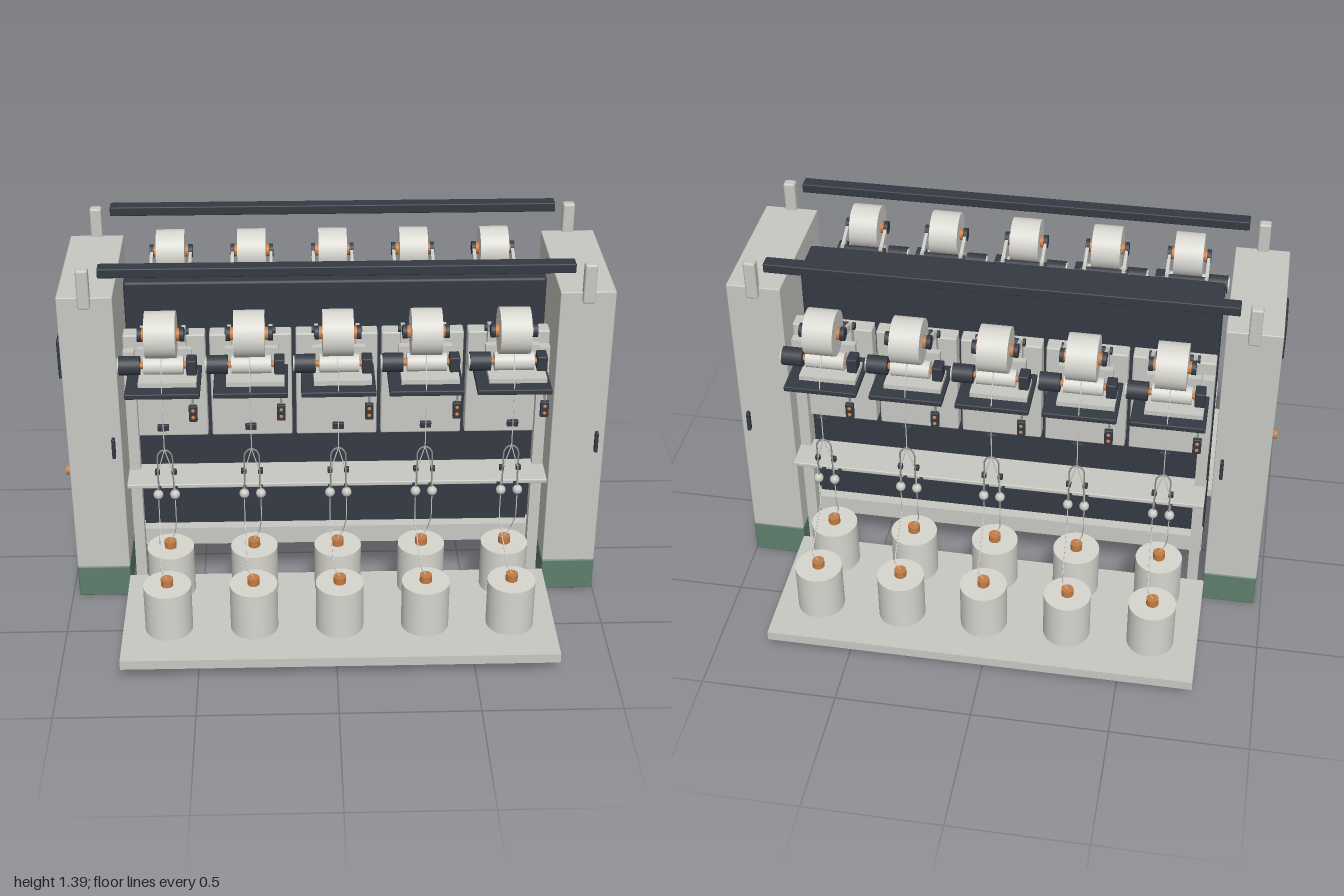
import * as THREE from 'three';
import { RoundedBoxGeometry } from 'three/addons/geometries/RoundedBoxGeometry.js';

const mat = (name, color, side = THREE.FrontSide) => {
  const m = new THREE.MeshStandardMaterial({ color, side });
  m.name = name;
  return m;
};

export function createModel() {
  const body = mat('light grey paint', 0xc8c8c3);
  const dark = mat('dark slate', 0x353a43);
  const green = mat('green base', 0x5f7d6d);
  const copper = mat('copper', 0xc47c44);
  const yarn = mat('yarn white', 0xd6d5ce);
  const steel = mat('steel', 0x8f9290);

  const add = (parent, name, geo, m, x, y, z) => {
    const mesh = new THREE.Mesh(geo, m);
    mesh.name = name;
    mesh.position.set(x, y, z);
    parent.add(mesh);
    return mesh;
  };
  // Box given by its ranges on each axis
  const box = (parent, name, m, [x0, x1], [y0, y1], [z0, z1], r = 0) => {
    const s = [x1 - x0, y1 - y0, z1 - z0];
    const geo = r ? new RoundedBoxGeometry(...s, 2, r) : new THREE.BoxGeometry(...s);
    return add(parent, name, geo, m, (x0 + x1) / 2, (y0 + y1) / 2, (z0 + z1) / 2);
  };
  // Upright cylinder between two heights
  const cylY = (parent, name, m, r, x, y0, y1, z, seg = 32) =>
    add(parent, name, new THREE.CylinderGeometry(r, r, y1 - y0, seg), m, x, (y0 + y1) / 2, z);
  // Cylinder lying along x
  const cylX = (parent, name, m, r, x0, x1, y, z, seg = 32) => {
    const c = add(parent, name, new THREE.CylinderGeometry(r, r, x1 - x0, seg), m, (x0 + x1) / 2, y, z);
    c.rotation.z = -Math.PI / 2;
    return c;
  };
  // Thin tube through straight segments
  const wire = (parent, name, m, r, pts) => {
    const path = new THREE.CurvePath();
    const v = pts.map(p => new THREE.Vector3(...p));
    for (let i = 1; i < v.length; i++) path.add(new THREE.LineCurve3(v[i - 1], v[i]));
    return add(parent, name, new THREE.TubeGeometry(path, 4 * (v.length - 1), r, 5), m, 0, 0, 0);
  };

  const model = new THREE.Group();
  model.name = 'yarnWindingMachine';
  const machine = new THREE.Group();
  machine.name = 'machine';
  machine.position.x = 0.012;
  model.add(machine);

  // End cabinets with green plinths and door handles
  for (const s of [-1, 1]) {
    const c = s * 0.887;
    box(machine, 'cabinet', body, [c - 0.099, c + 0.099], [0.13, 1.268], [-0.27, 0.27], 0.004);
    box(machine, 'cabinetBase', green, [c - 0.1, c + 0.1], [0, 0.132], [-0.272, 0.272], 0.006);
    const hx = s < 0 ? -0.817 : 0.955;
    for (const t of [-1, 1])
      add(machine, 'doorHandle', new RoundedBoxGeometry(0.013, 0.082, 0.022, 2, 0.004), dark, hx, 0.662, t * 0.281);
  }

  // Control screen and knob on the outer left cabinet
  box(machine, 'controlScreen', dark, [-1.001, -0.985], [0.93, 1.085], [0.06, 0.24], 0.006);
  cylX(machine, 'knobStem', dark, 0.012, -1.002, -0.985, 0.5, 0.16, 16);
  cylX(machine, 'knob', copper, 0.019, -1.012, -0.998, 0.5, 0.16, 20);

  // Central core
  box(machine, 'centralCore', dark, [-0.767, 0.767], [0.115, 1.235], [-0.082, 0.082], 0.01);

  function supplyBobbin(parent, x, z) {
    const g = new THREE.Group();
    g.name = 'supplyBobbin';
    g.position.set(x, 0, z);
    parent.add(g);
    cylY(g, 'bobbinSeat', body, 0.018, 0, 0.088, 0.106, 0, 16);
    cylY(g, 'bobbinTube', copper, 0.022, 0, 0.104, 0.335, 0, 20);
    cylY(g, 'bobbinYarn', yarn, 0.086, 0, 0.123, 0.308, 0, 40);
  }

  function windingHead(parent, x) {
    const g = new THREE.Group();
    g.name = 'windingHead';
    g.position.x = x;
    parent.add(g);
    // Casing behind and deck plate
    box(g, 'casing', body, [-0.147, 0.147], [0.685, 1.1], [0.175, 0.235], 0.006);
    box(g, 'deck', dark, [-0.13, 0.133], [0.96, 0.98], [0.235, 0.455], 0.004);
    box(g, 'pedestal', body, [-0.085, 0.12], [0.98, 0.998], [0.29, 0.405]);
    box(g, 'backBracket', body, [-0.09, 0.1], [0.998, 1.08], [0.28, 0.305]);
    // Drive roller, motor and bearing block
    cylX(g, 'driveRoller', yarn, 0.033, -0.065, 0.075, 1.042, 0.352);
    cylX(g, 'rollerShaft', copper, 0.012, -0.08, 0.09, 1.042, 0.352, 12);
    cylX(g, 'motor', dark, 0.034, -0.152, -0.078, 1.042, 0.352, 24);
    cylX(g, 'motorCap', body, 0.028, -0.158, -0.152, 1.042, 0.352, 24);
    box(g, 'bearingBlock', dark, [0.085, 0.122], [1.012, 1.07], [0.324, 0.38], 0.005);
    // Wound package on its cradle
    cylX(g, 'woundPackage', yarn, 0.083, -0.054, 0.054, 1.163, 0.352, 48);
    cylX(g, 'packageTube', copper, 0.023, -0.068, 0.068, 1.163, 0.352, 20);
    for (const s of [-1, 1]) {
      const a = s * 0.074;
      cylX(g, 'cradleHub', dark, 0.025, a - 0.008, a + 0.008, 1.163, 0.352, 20);
      const arm = box(g, 'cradleArm', body, [a - 0.006, a + 0.006], [-0.013, 0.013], [-0.062, 0.062]);
      arm.position.set(a, 1.143, 0.295);
      arm.rotation.x = -0.36;
      box(g, 'cradlePost', body, [a - 0.007, a + 0.007], [0.998, 1.14], [0.235, 0.27]);
    }
    cylX(g, 'cradlePivot', dark, 0.014, -0.09, 0.09, 1.122, 0.245, 12);
    // Switch box with two lamps
    box(g, 'switchBox', dark, [0.093, 0.123], [0.872, 0.935], [0.445, 0.462], 0.004);
    for (const y of [0.89, 0.917])
      add(g, 'lamp', new THREE.SphereGeometry(0.007, 10, 8), copper, 0.108, y, 0.462);
    box(g, 'switchBracket', steel, [0.104, 0.112], [0.93, 0.965], [0.442, 0.45]);
    // Yarn sensor, tension arch and guides
    box(g, 'yarnSensor', dark, [-0.02, 0.02], [0.828, 0.852], [0.434, 0.449], 0.003);
    const arch = add(g, 'tensionArch', new THREE.TorusGeometry(0.027, 0.003, 6, 16, Math.PI), steel, 0, 0.718, 0.452);
    arch.scale.y = 1.3;
    for (const s of [-1, 1]) {
      const gx = s * 0.03;
      box(g, 'yarnClamp', dark, [gx - 0.009, gx + 0.009], [0.646, 0.666], [0.432, 0.449], 0.003);
      cylY(g, 'guideRod', steel, 0.003, s * 0.027, 0.56, 0.72, 0.452, 6);
      add(g, 'guideBall', new THREE.SphereGeometry(0.018, 16, 12), body, gx, 0.568, 0.452);
      box(g, 'guideArm', dark, [gx - 0.006, gx + 0.006], [0.546, 0.555], [0.36, 0.455]);
      // Yarn from each supply bobbin up to the arch
      const z = s < 0 ? 0.645 : 0.4;
      wire(g, 'supplyYarn', yarn, 0.002,
        [[0, 0.335, z], [s * 0.02, 0.368, z], [gx, 0.455, 0.452], [gx, 0.65, 0.452], [0, 0.755, 0.453]]);
    }
    wire(g, 'risingYarn', yarn, 0.002,
      [[0, 0.75, 0.453], [0, 0.84, 0.452], [0, 0.9, 0.458], [0, 0.99, 0.445], [0, 1.09, 0.39]]);
    supplyBobbin(g, 0, 0.645);
    supplyBobbin(g, 0, 0.4);
  }

  // One working side; the second is the same side turned about
  for (let side = 0; side < 2; side++) {
    const row = new THREE.Group();
    row.name = side ? 'backSide' : 'frontSide';
    row.rotation.y = side * Math.PI;
    machine.add(row);

    // Supply table with feet
    box(row, 'supplyTable', body, [-0.789, 0.789], [0.053, 0.09], [0.268, 0.803]);
    for (const s of [-1, 1]) cylY(row, 'tableFoot', body, 0.036, s * 0.746, 0, 0.053, 0.685, 24);

    // Frame: uprights, back panel, lower rail and guide shelf
    for (const s of [-1, 1]) {
      const p = s * 0.744;
      box(row, 'upright', body, [p - 0.02, p + 0.02], [0.09, 1.05], [0.225, 0.268]);
    }
    box(row, 'backPanel', dark, [-0.725, 0.725], [0.27, 0.685], [0.165, 0.185]);
    box(row, 'lowerRail', body, [-0.767, 0.767], [0.2, 0.272], [0.165, 0.225]);
    box(row, 'guideShelf', body, [-0.767, 0.767], [0.544, 0.561], [0.225, 0.375], 0.004);

    // Overhead rail and its posts
    box(row, 'overheadRail', dark, [-0.832, 0.832], [1.354, 1.389], [0.246, 0.297], 0.004);
    for (const s of [-1, 1]) {
      const p = s * 0.887;
      box(row, 'railPost', body, [p - 0.022, p + 0.022], [1.23, 1.38], [0.252, 0.29], 0.008);
    }

    for (let i = -2; i <= 2; i++) windingHead(row, i * 0.309);
  }
  return model;
}
